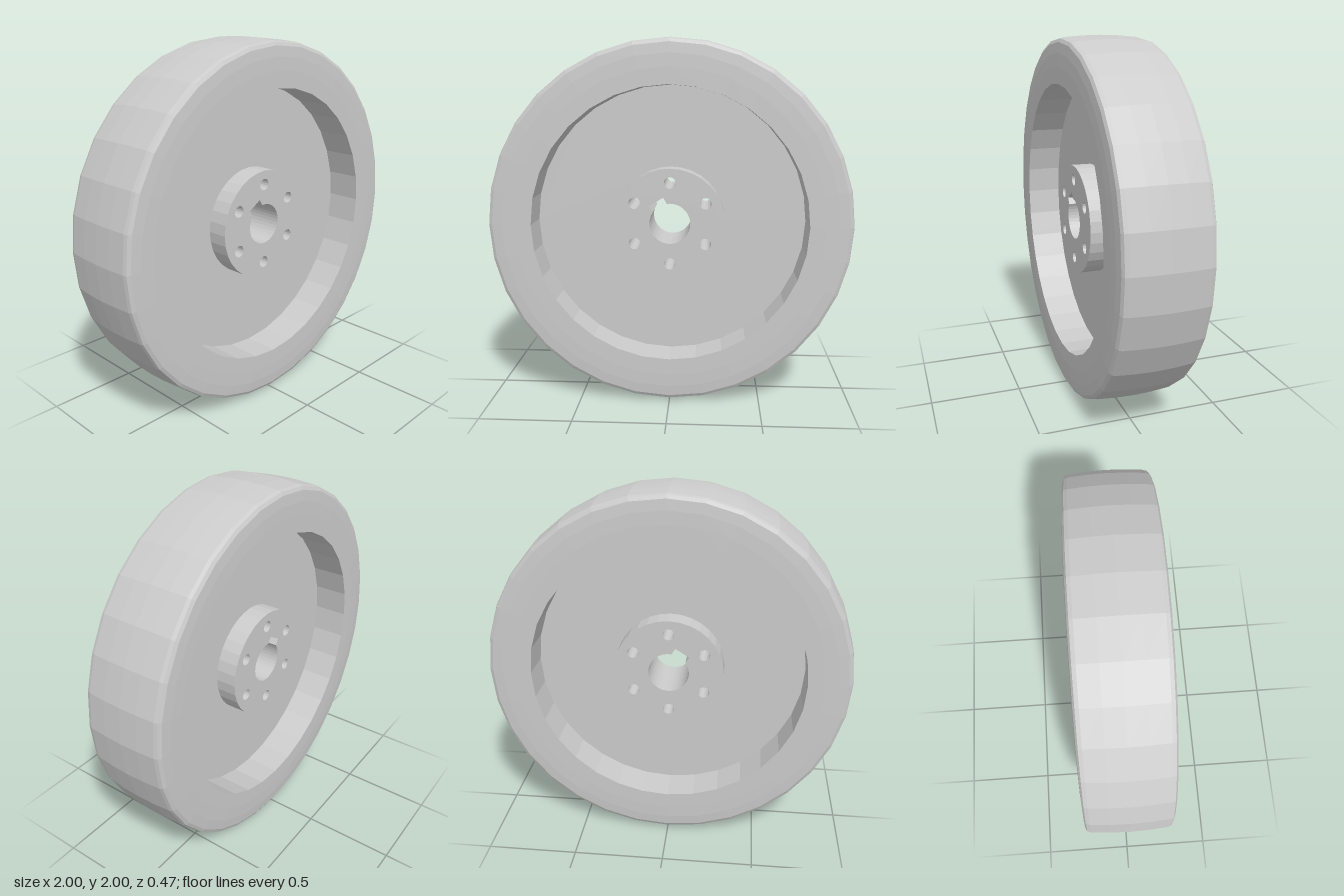
import * as THREE from 'three';

const SEG = 32;
const material = new THREE.MeshStandardMaterial({ color: 0xcccccc, flatShading: true });

// Points of a regular polygon standing in for a circle
function ring(r, n, cx = 0, cy = 0) {
  return Array.from({ length: n }, (_, i) => {
    const a = (i / n) * Math.PI * 2;
    return new THREE.Vector2(cx + r * Math.cos(a), cy + r * Math.sin(a));
  });
}

// Disc of the given radius and thickness, centred on z = 0, with cut-outs
function disc(name, radius, thickness, holes) {
  const shape = new THREE.Shape(ring(radius, SEG));
  shape.holes = holes.map((points) => new THREE.Path(points));
  const geometry = new THREE.ExtrudeGeometry(shape, { depth: thickness, bevelEnabled: false });
  geometry.translate(0, 0, -thickness / 2);
  const mesh = new THREE.Mesh(geometry, material);
  mesh.name = name;
  return mesh;
}

// Round bore with a rectangular keyway pointing along the given angle
function keyedBore(r, halfWidth, reach, angle) {
  const start = Math.asin(halfWidth / r);
  const points = [];
  for (let i = 0; i <= SEG; i++) {
    const a = start + (i / SEG) * (Math.PI * 2 - 2 * start);
    points.push(new THREE.Vector2(r * Math.cos(a), r * Math.sin(a)));
  }
  points.push(new THREE.Vector2(reach, -halfWidth), new THREE.Vector2(reach, halfWidth));
  return points.map((p) => p.rotateAround(new THREE.Vector2(), angle));
}

export function createModel() {
  const wheel = new THREE.Group();
  wheel.name = 'wheel';

  // Rim: crowned tread, rounded shoulders, slightly domed side faces
  const half = [[1, 0], [0.997, 0.1], [0.989, 0.2], [0.983, 0.219], [0.965, 0.229],
    [0.91, 0.234], [0.84, 0.236], [0.75, 0.236]];
  const lower = half.slice(1).reverse().map(([r, z]) => [r, -z]);
  const profile = [...lower, ...half, lower[0]].map(([r, z]) => new THREE.Vector2(r, z));
  const rim = new THREE.Mesh(new THREE.LatheGeometry(profile, SEG), material);
  rim.rotation.x = Math.PI / 2;
  rim.name = 'rim';

  // Web: thin plate between the hub and the rim
  const web = disc('web', 0.75, 0.08, [ring(0.303, SEG)]);

  // Hub: thick boss with keyed bore and six bolt holes
  const holes = [keyedBore(0.112, 0.045, 0.142, THREE.MathUtils.degToRad(122))];
  for (let i = 0; i < 6; i++) {
    const a = Math.PI / 2 + (i * Math.PI) / 3;
    holes.push(ring(0.032, 16, 0.225 * Math.cos(a), 0.225 * Math.sin(a)));
  }
  const hub = disc('hub', 0.303, 0.31, holes);

  wheel.add(rim, web, hub);
  wheel.position.y = 1;

  const model = new THREE.Group();
  model.add(wheel);
  return model;
}
